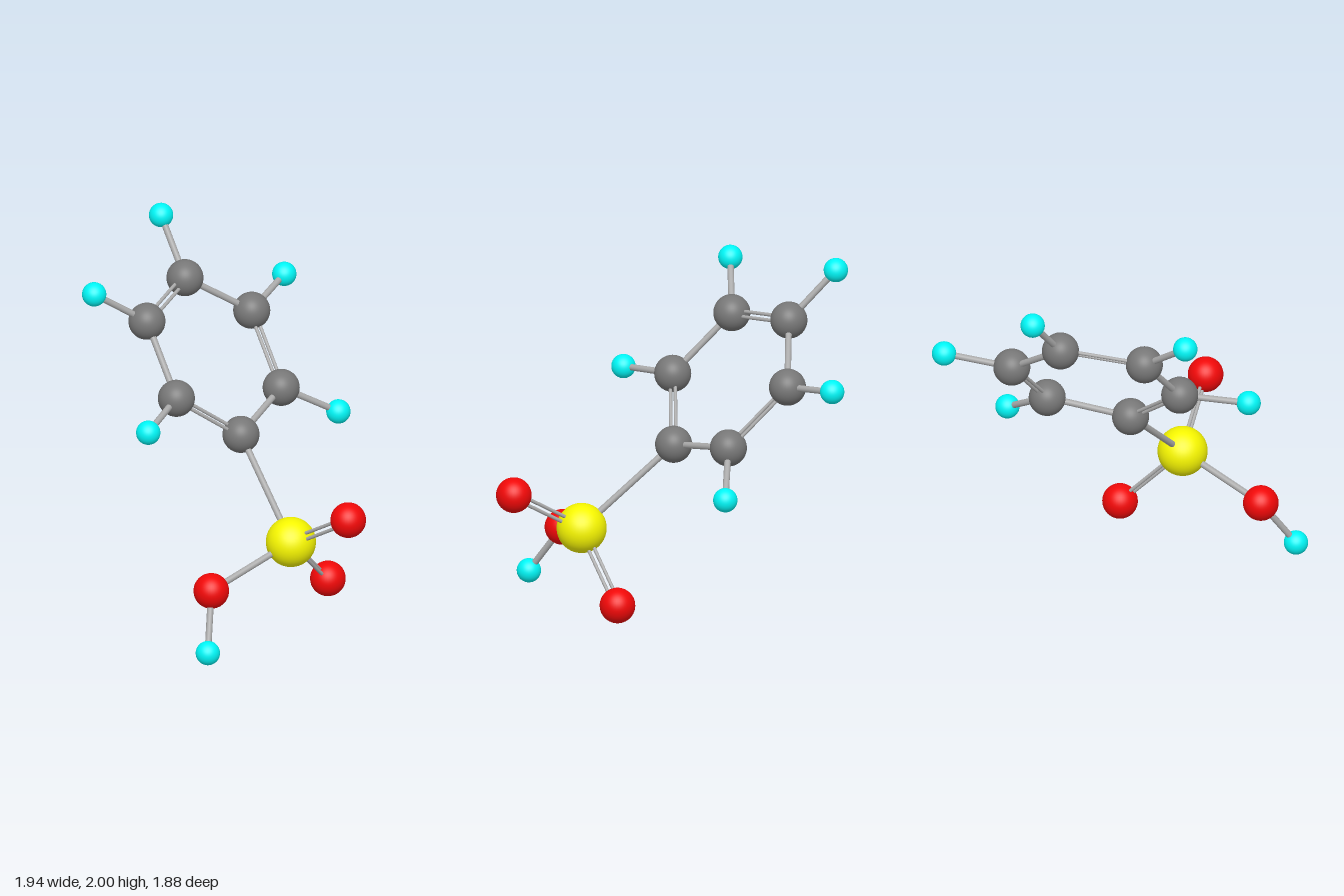
import * as THREE from 'three';

const ELEMENTS = {
  carbon: { radius: 0.102, color: 0x777777 },
  sulfur: { radius: 0.138, color: 0xf5f500 },
  oxygen: { radius: 0.098, color: 0xf00808 },
  hydrogen: { radius: 0.067, color: 0x00f5f5 },
};

// Ring atoms in order, each followed by the hydrogen it carries
const RING = [
  [[-0.06, 0.97, -0.055], null],
  [[0.395, 1.07, -0.115], [0.66, 0.88, 0.08]],
  [[0.53, 1.405, -0.415], [0.9, 1.475, -0.465]],
  [[0.21, 1.66, -0.635], [0.315, 1.935, -0.875]],
  [[-0.245, 1.585, -0.56], [-0.51, 1.8, -0.725]],
  [[-0.38, 1.25, -0.26], [-0.75, 1.2, -0.18]],
];

export function createModel() {
  const model = new THREE.Group();
  model.name = 'molecule';
  const vec = (p) => new THREE.Vector3(...p);
  const rodMaterial = new THREE.MeshStandardMaterial({ color: 0xaaaaaa });
  const kinds = {};
  for (const [name, { radius, color }] of Object.entries(ELEMENTS)) {
    kinds[name] = {
      geometry: new THREE.SphereGeometry(radius, 40, 28),
      material: new THREE.MeshStandardMaterial({ color }),
    };
  }

  function atom(kind, name, point) {
    const mesh = new THREE.Mesh(kinds[kind].geometry, kinds[kind].material);
    mesh.name = name;
    mesh.position.copy(point);
    model.add(mesh);
    return point;
  }

  function rod(a, b, radius, name) {
    const dir = b.clone().sub(a);
    const mesh = new THREE.Mesh(
      new THREE.CylinderGeometry(radius, radius, dir.length(), 16), rodMaterial);
    mesh.name = name;
    mesh.position.copy(a).lerp(b, 0.5);
    mesh.quaternion.setFromUnitVectors(new THREE.Vector3(0, 1, 0), dir.normalize());
    model.add(mesh);
  }

  const singleBond = (a, b) => rod(a, b, 0.018, 'singleBond');

  // Two thin rods, spread in the plane through a, b and a neighbouring atom
  function doubleBond(a, b, neighbour) {
    const dir = b.clone().sub(a).normalize();
    const side = neighbour.clone().sub(a);
    side.addScaledVector(dir, -side.dot(dir)).setLength(0.0165);
    for (const s of [-1, 1]) {
      rod(a.clone().addScaledVector(side, s), b.clone().addScaledVector(side, s),
        0.0098, 'doubleBondRod');
    }
  }

  // Six-sided carbon ring with alternating single and double bonds
  const ring = RING.map(([p], i) => atom('carbon', `carbon${i + 1}`, vec(p)));
  ring.forEach((c, i) => {
    const next = ring[(i + 1) % 6];
    if (i % 2) doubleBond(c, next, ring[(i + 5) % 6]);
    else singleBond(c, next);
    if (RING[i][1]) singleBond(c, atom('hydrogen', `hydrogen${i + 1}`, vec(RING[i][1])));
  });

  // Sulfur group hanging from the first carbon
  const sulfur = atom('sulfur', 'sulfur', vec([-0.25, 0.52, 0.425]));
  singleBond(ring[0], sulfur);
  [[-0.29, 0.78, 0.845], [0.1, 0.17, 0.42]].forEach((p, i) => {
    doubleBond(sulfur, atom('oxygen', `doubleBondedOxygen${i + 1}`, vec(p)), ring[0]);
  });

  // Hydroxyl arm
  const hydroxyl = atom('oxygen', 'hydroxylOxygen', vec([-0.73, 0.35, 0.235]));
  singleBond(sulfur, hydroxyl);
  singleBond(hydroxyl, atom('hydrogen', 'hydroxylHydrogen', vec([-0.905, 0.067, 0.34])));

  return model;
}
